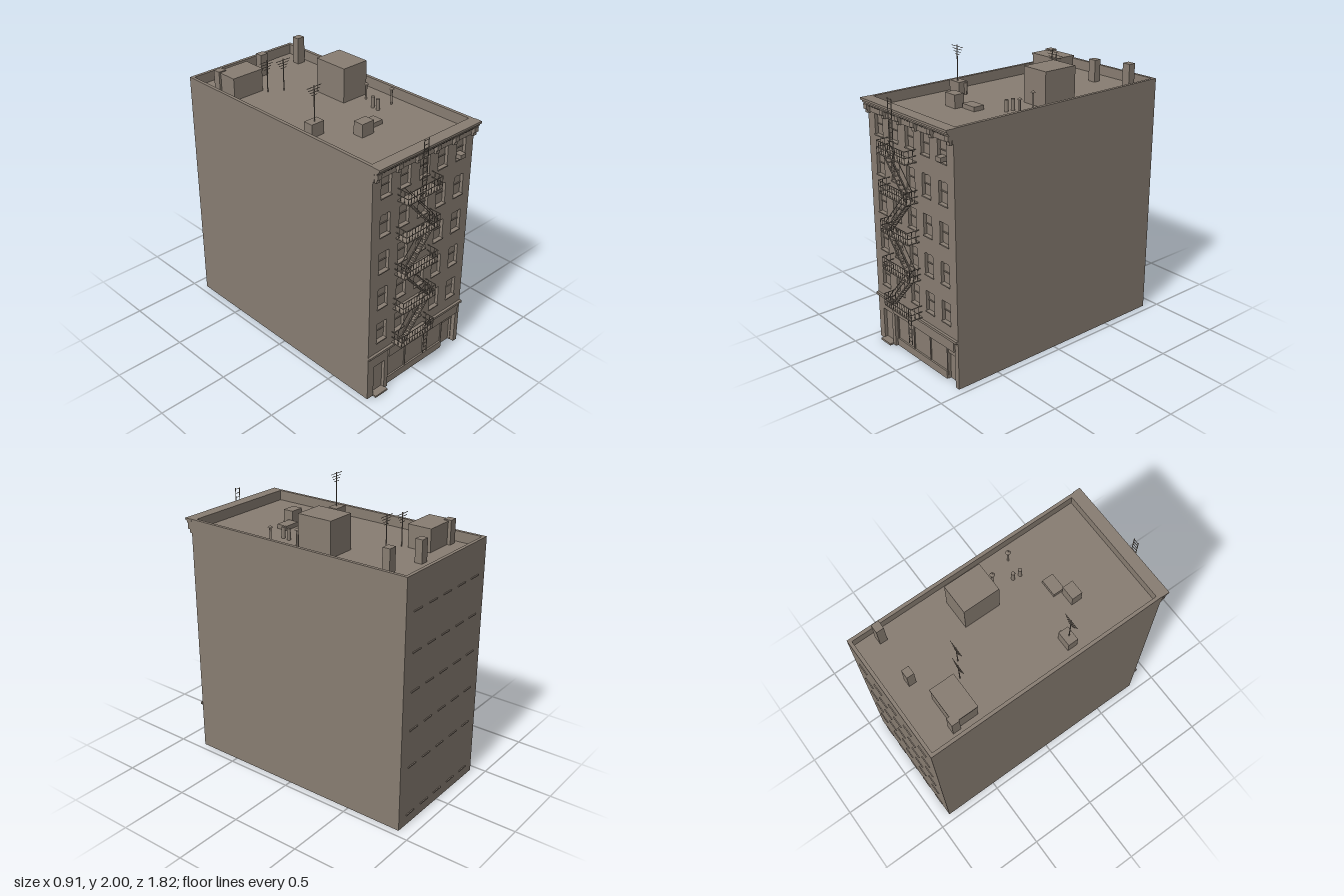
import * as THREE from 'three';

const masonry = new THREE.MeshStandardMaterial({ color: 0x887d72, side: THREE.DoubleSide });
masonry.name = 'warm grey masonry';

const W = 0.45, FRONT = 0.82, BACK = -0.905, ROOF = 1.67, TOP = 1.74;
const COLUMNS = [-0.335, -0.168, 0, 0.165, 0.335];
const FLOORS = [
  { y: 0.435, h: 0.145 }, { y: 0.70, h: 0.15, arched: true }, { y: 0.97, h: 0.145 },
  { y: 1.235, h: 0.15, arched: true }, { y: 1.505, h: 0.135 },
];

export function createModel() {
  const root = new THREE.Group();

  function group(name, parent = root) {
    const g = new THREE.Group();
    g.name = name;
    parent.add(g);
    return g;
  }
  function add(name, geo, parent = root) {
    const m = new THREE.Mesh(geo, masonry);
    m.name = name;
    parent.add(m);
    return m;
  }
  // Box given by its extents
  function box(name, x0, x1, y0, y1, z0, z1, parent) {
    const m = add(name, new THREE.BoxGeometry(x1 - x0, y1 - y0, z1 - z0), parent);
    m.position.set((x0 + x1) / 2, (y0 + y1) / 2, (z0 + z1) / 2);
    return m;
  }
  // Thin square bar between two points
  function bar(name, a, b, t, parent) {
    const p = new THREE.Vector3(...a), q = new THREE.Vector3(...b);
    const m = add(name, new THREE.BoxGeometry(t, t, p.distanceTo(q)), parent);
    m.position.copy(p).add(q).multiplyScalar(0.5);
    m.lookAt(q);
    return m;
  }
  function post(name, x, z, r, y0, y1, parent) {
    const m = add(name, new THREE.CylinderGeometry(r, r, y1 - y0, 12), parent);
    m.position.set(x, (y0 + y1) / 2, z);
    return m;
  }

  // Shell, open underneath
  const shell = group('shell');
  const depth = FRONT - BACK, midZ = (FRONT + BACK) / 2;
  for (const s of [-1, 1]) {
    const side = add('sideWall', new THREE.PlaneGeometry(depth, ROOF), shell);
    side.rotation.y = s * Math.PI / 2;
    side.position.set(s * W, ROOF / 2, midZ);
  }
  const back = add('backWall', new THREE.PlaneGeometry(2 * W, ROOF), shell);
  back.rotation.y = Math.PI;
  back.position.set(0, ROOF / 2, BACK);
  const roof = add('roof', new THREE.PlaneGeometry(2 * W, depth), shell);
  roof.rotation.x = -Math.PI / 2;
  roof.position.set(0, ROOF, midZ);

  // Parapet ring
  const rect = (C, x0, x1, y0, y1) => new C([
    new THREE.Vector2(x0, y0), new THREE.Vector2(x1, y0), new THREE.Vector2(x1, y1), new THREE.Vector2(x0, y1)]);
  const ring = rect(THREE.Shape, -W, W, -FRONT, -BACK);
  ring.holes.push(rect(THREE.Path, -0.427, 0.427, -0.79, 0.882));
  const parapet = add('parapet', new THREE.ExtrudeGeometry(ring, { depth: TOP - ROOF, bevelEnabled: false }), shell);
  parapet.rotation.x = -Math.PI / 2;
  parapet.position.y = ROOF;

  // Front wall with window holes, side door and shop opening
  const wall = new THREE.Shape([
    [-W, 0], [-0.395, 0], [-0.395, 0.24], [-0.295, 0.24], [-0.295, 0], [-0.262, 0], [-0.262, 0.26],
    [0.415, 0.26], [0.415, 0], [W, 0], [W, ROOF], [-W, ROOF],
  ].map(p => new THREE.Vector2(...p)));
  const half = 0.043;
  for (const f of FLOORS) for (const x of COLUMNS) {
    const p = new THREE.Path();
    const top = f.y + f.h;
    p.moveTo(x - half, f.y).lineTo(x + half, f.y);
    if (f.arched) {
      p.lineTo(x + half, top - 0.008);
      p.quadraticCurveTo(x + half * 0.5, top + 0.008, x, top - 0.008);
      p.quadraticCurveTo(x - half * 0.5, top + 0.008, x - half, top - 0.008);
    } else p.lineTo(x + half, top).lineTo(x - half, top);
    p.closePath();
    wall.holes.push(p);
  }
  const front = add('frontWall', new THREE.ExtrudeGeometry(wall, { depth: 0.03, bevelEnabled: false, curveSegments: 5 }), shell);
  front.position.z = FRONT - 0.03;

  // Front windows and sills
  const windows = group('frontWindows');
  for (const f of FLOORS) for (const x of COLUMNS) {
    box('pane', x - half, x + half, f.y, f.y + f.h, 0.792, 0.797, windows);
    box('meetingRail', x - half, x + half, f.y + f.h * 0.48, f.y + f.h * 0.53, 0.797, 0.802, windows);
    box('sill', x - half - 0.003, x + half + 0.003, f.y - 0.008, f.y, 0.80, 0.827, windows);
  }
  box('airConditioner', 0.305, 0.355, 1.513, 1.543, 0.797, 0.847, windows);

  // Thin ledges on the back wall
  const ledges = group('backLedges');
  for (const y of [0.075, 0.435, 0.70, 0.97, 1.235, 1.505]) for (const x of [-0.325, -0.165, 0, 0.16, 0.325])
    box('backLedge', x - 0.043, x + 0.043, y - 0.004, y + 0.004, BACK - 0.007, BACK, ledges);

  // Shopfront
  const shop = group('shopfront');
  box('sideDoor', -0.395, -0.295, 0, 0.24, 0.79, 0.797, shop);
  box('sideDoorStep', -0.40, -0.29, 0, 0.014, 0.79, 0.85, shop);
  box('shopWindow', -0.262, 0.30, 0.05, 0.26, 0.785, 0.79, shop);
  box('stallRiser', -0.262, 0.30, 0, 0.055, 0.785, 0.802, shop);
  for (const x of [-0.258, -0.07, 0.115, 0.30]) box('shopMullion', x - 0.004, x + 0.004, 0.055, 0.26, 0.79, 0.798, shop);
  box('shopTransom', 0.30, 0.415, 0.195, 0.26, 0.782, 0.79, shop);
  box('shopDoor', 0.304, 0.41, 0, 0.195, 0.765, 0.772, shop);
  box('doorReveal', 0.30, 0.304, 0, 0.195, 0.765, 0.79, shop);
  box('doorReveal', 0.41, 0.415, 0, 0.195, 0.765, 0.79, shop);
  box('signBoard', -0.265, 0.418, 0.26, 0.333, FRONT, 0.832, shop);
  box('shopLedge', -0.452, 0.452, 0.333, 0.35, FRONT, 0.838, shop);

  // Cornice with brackets and dentils
  const cornice = group('cornice');
  box('cap', -0.453, 0.453, 1.725, TOP, FRONT, 0.873, cornice);
  box('crown', -0.45, 0.45, 1.71, 1.725, FRONT, 0.863, cornice);
  box('shelf', -0.45, 0.45, 1.697, 1.71, FRONT, 0.852, cornice);
  box('frieze', -0.45, 0.45, 1.645, 1.697, FRONT, 0.828, cornice);
  for (const x of [-0.43, -0.25, -0.083, 0.083, 0.25, 0.43]) {
    box('bracket', x - 0.018, x + 0.018, 1.665, 1.697, 0.828, 0.856, cornice);
    box('bracketFoot', x - 0.014, x + 0.014, 1.64, 1.665, FRONT, 0.845, cornice);
  }
  for (let i = 0; i < 30; i++) {
    const x = -0.435 + i * 0.03;
    box('dentil', x - 0.006, x + 0.006, 1.685, 1.697, 0.828, 0.842, cornice);
  }

  // Fire escape
  const escape = group('fireEscape');
  const decks = [0.36, 0.63, 0.897, 1.165, 1.432];
  const X0 = -0.235, X1 = 0.068, Z1 = 0.908, RAIL = 0.085, T = 0.004;
  decks.forEach((y, level) => {
    const b = group('balcony', escape);
    box('deck', X0, X1, y - 0.003, y + 0.004, FRONT, Z1, b);
    for (const h of [RAIL, RAIL * 0.5]) {
      bar('frontRail', [X0, y + h, Z1], [X1, y + h, Z1], T, b);
      for (const x of [X0, X1]) bar('endRail', [x, y + h, FRONT], [x, y + h, Z1], T, b);
    }
    for (let i = 0; i <= 12; i++) {
      const x = X0 + (X1 - X0) * i / 12;
      bar('baluster', [x, y, Z1], [x, y + RAIL, Z1], 0.003, b);
    }
    for (const x of [X0, X1]) for (const z of [0.845, 0.877]) bar('endBaluster', [x, y, z], [x, y + RAIL, z], 0.003, b);

    // Stair down to the next balcony, alternating direction
    if (level === 0) return;
    const s = group('stair', escape), low = decks[level - 1];
    const dir = level % 2 ? -1 : 1;
    const xLow = -0.08 + dir * 0.12, xHigh = -0.08 - dir * 0.12;
    for (const z of [0.845, 0.885]) {
      bar('stringer', [xLow, low, z], [xHigh, y, z], 0.007, s);
      bar('handrail', [xLow, low + 0.08, z], [xHigh, y + 0.08, z], T, s);
      bar('newel', [xLow, low, z], [xLow, low + 0.08, z], T, s);
    }
    for (let i = 1; i < 11; i++) {
      const t = i / 11, x = xLow + (xHigh - xLow) * t, ty = low + (y - low) * t;
      box('tread', x - 0.009, x + 0.009, ty - 0.0015, ty + 0.0015, 0.845, 0.885, s);
    }
  });

  // Ladders: drop ladder to the street and one up past the cornice
  function ladder(name, x0, x1, y0, y1, z) {
    const l = group(name, escape);
    for (const x of [x0, x1]) bar('ladderRail', [x, y0, z], [x, y1, z], T, l);
    for (let y = y0 + 0.02; y < y1; y += 0.03) bar('rung', [x0, y, z], [x1, y, z], 0.003, l);
  }
  ladder('dropLadder', 0.006, 0.04, 0.168, 0.40, 0.887);
  ladder('roofLadder', -0.105, -0.066, 1.432, 1.82, 0.895);

  // Roof structures: [name, x0, x1, top, z0, z1]
  const roofTop = group('roofStructures');
  for (const [name, x0, x1, top, z0, z1] of [
    ['stairBulkhead', 0.12, 0.327, 1.91, -0.26, -0.003],
    ['shed', -0.375, -0.135, 1.82, -0.687, -0.52],
    ['shedRoof', -0.38, -0.13, 1.828, -0.69, -0.517],
    ['chimney', -0.39, -0.333, 1.835, -0.71, -0.655],
    ['chimney', 0.008, 0.067, 1.825, -0.755, -0.703],
    ['chimney', 0.338, 0.398, 1.86, -0.745, -0.692],
    ['ventBox', -0.372, -0.27, 1.76, 0.155, 0.225],
    ['ventBox', -0.145, -0.045, 1.76, 0.357, 0.432],
    ['skylight', -0.035, 0.085, 1.70, 0.30, 0.38],
  ]) box(name, x0, x1, name === 'shedRoof' ? 1.815 : ROOF, top, z0, z1, roofTop);

  // Vent pipes, two of them capped
  for (const [x, z] of [[0.272, 0.052], [0.337, 0.22]]) {
    post('ventPipe', x, z, 0.007, ROOF, 1.78, roofTop);
    const cap = add('ventCap', new THREE.ConeGeometry(0.017, 0.016, 12), roofTop);
    cap.position.set(x, 1.784, z);
  }
  for (const [x, z] of [[0.215, 0.17], [0.21, 0.22]]) post('ventStub', x, z, 0.013, ROOF, 1.747, roofTop);
  post('ventStub', -0.272, 0.172, 0.01, ROOF, 1.75, roofTop);

  // Aerials
  function aerial(x, z, y0, top) {
    const a = group('aerial', roofTop);
    bar('mast', [x, y0, z], [x, top, z], 0.005, a);
    [0.06, 0.048, 0.036, 0.024].forEach((w, i) => {
      const y = top - 0.01 - i * 0.018;
      bar('crossbar', [x - w, y, z], [x + w, y, z], 0.003, a);
    });
  }
  aerial(-0.322, 0.195, 1.76, 2.0);
  aerial(-0.127, -0.478, ROOF, 1.897);
  aerial(-0.03, -0.425, ROOF, 1.897);

  return root;
}
